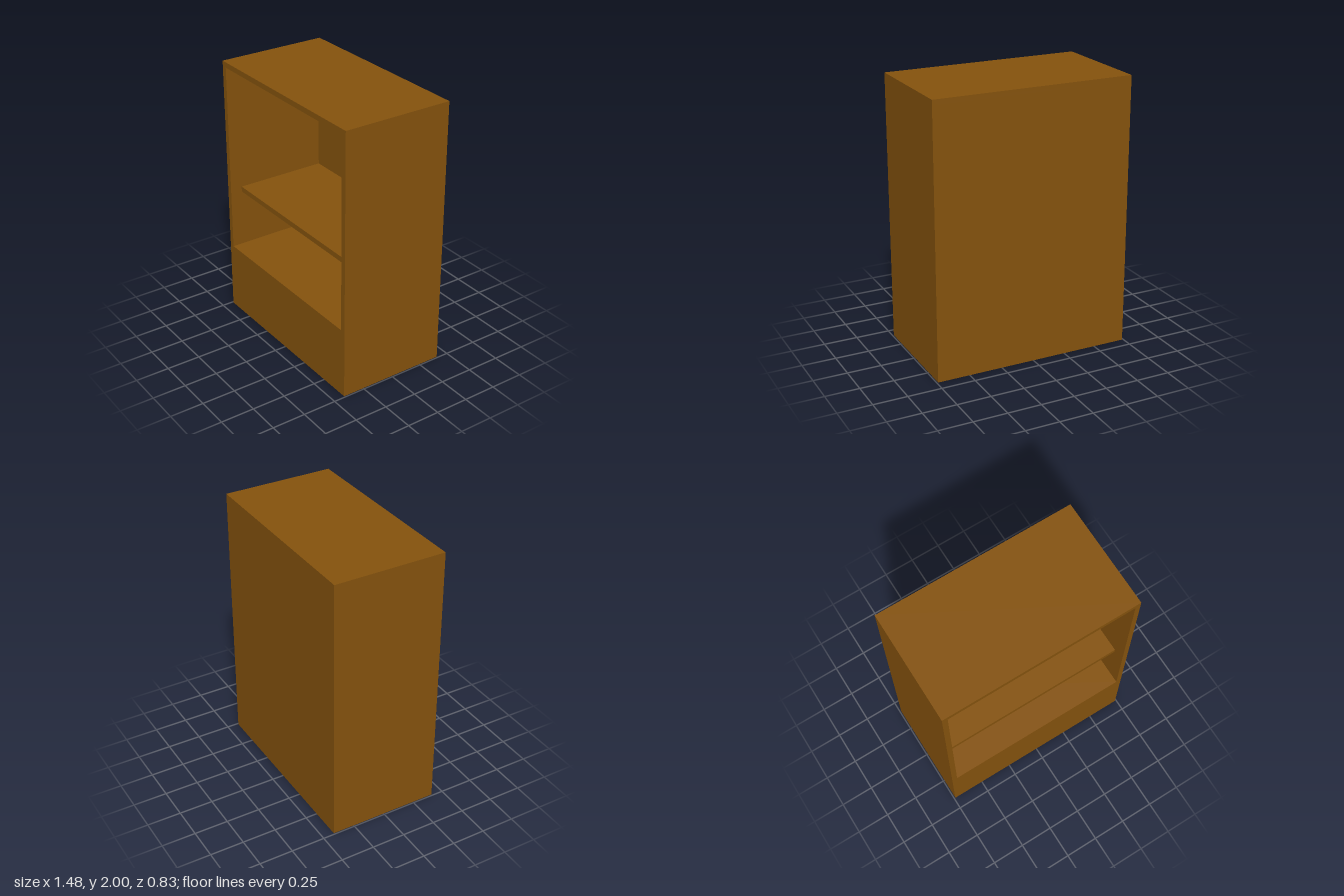
import * as THREE from 'three';

const W = 1.48, H = 2, D = 0.826;        // overall size
const T = 0.04;                          // board thickness
const FLOOR = 0.523;                     // top of the plinth
const INNER_W = W - 2 * T;

export function createModel() {
  const model = new THREE.Group();
  model.name = 'bookcase';
  const wood = new THREE.MeshStandardMaterial({ color: 0x84520d });
  wood.name = 'brown wood';

  const add = (name, geometry, x, y, z) => {
    const mesh = new THREE.Mesh(geometry, wood);
    mesh.name = name;
    mesh.position.set(x, y, z);
    model.add(mesh);
  };
  const rect = (path, x0, y0, x1, y1) =>
    path.moveTo(x0, y0).lineTo(x1, y0).lineTo(x1, y1).lineTo(x0, y1).closePath();

  // Casing: sides, top and deep plinth around one opening
  const outline = rect(new THREE.Shape(), -W / 2, 0, W / 2, H);
  outline.holes.push(rect(new THREE.Path(), -INNER_W / 2, FLOOR, INNER_W / 2, H - T));
  add('casing', new THREE.ExtrudeGeometry(outline, { depth: D, bevelEnabled: false }), 0, 0, -D / 2);

  // Back panel closes the opening, flush with the rear
  const openH = H - T - FLOOR;
  add('backPanel', new THREE.BoxGeometry(INNER_W, openH, T), 0, FLOOR + openH / 2, -D / 2 + T / 2);

  // Shelf, set back from the front edge
  const shelfD = 0.695;
  add('shelf', new THREE.BoxGeometry(INNER_W, T, shelfD), 0, 0.981, -D / 2 + T + shelfD / 2);

  return model;
}
